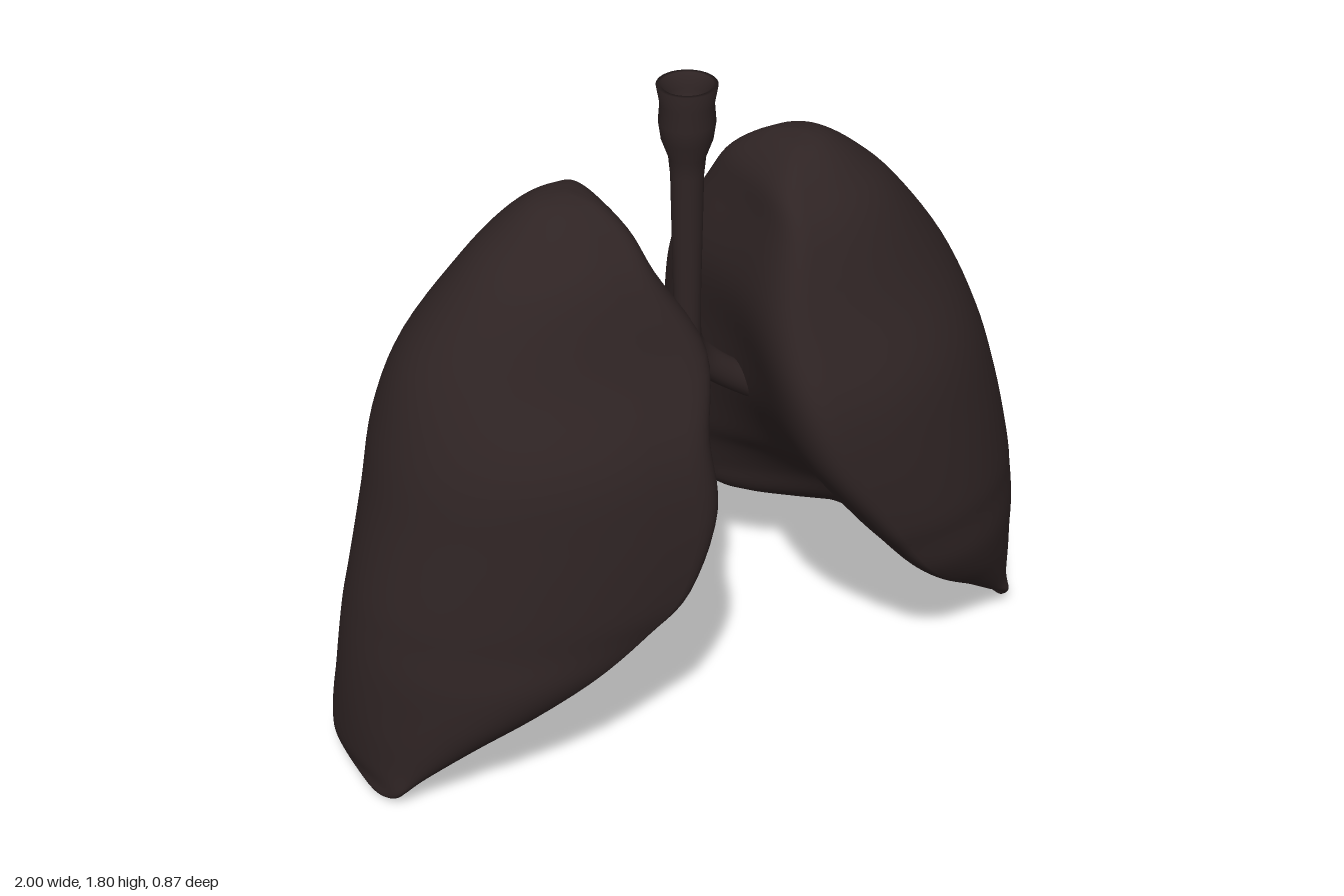
import * as THREE from 'three';

const tissue = new THREE.MeshStandardMaterial({ color: 0x2f2424, side: THREE.DoubleSide });
tissue.name = 'dark tissue';

// Horizontal sections from apex to base: height, inner hollow depth, front z, back z, rim roundness
const LEVELS = [
  [1.583, 0, 0.02, -0.02, 0.4], [1.565, 0, 0.08, -0.09, 0.4], [1.5, 0.01, 0.16, -0.17, 0.35],
  [1.4, 0.02, 0.235, -0.235, 0.32], [1.2, 0.04, 0.315, -0.345, 0.32], [1.0, 0.07, 0.4, -0.42, 0.32],
  [0.8, 0.08, 0.43, -0.43, 0.28], [0.6, 0.11, 0.435, -0.425, 0.2], [0.5, 0.16, 0.42, -0.425, 0.16],
  [0.4, 0.22, 0.4, -0.415, 0.13], [0.3, 0.23, 0.35, -0.385, 0.12], [0.2, 0.17, 0.28, -0.34, 0.12],
  [0.1, 0.07, 0.21, -0.3, 0.15], [0.05, 0.02, 0.18, -0.26, 0.2], [0.02, 0, 0.15, -0.04, 0.25],
  [0.005, 0, 0.1, 0.05, 0.3],
];
// Matching distances from the midline: outer side, front inner rim, back inner rim
const LEFT = [
  [0.36, 0.33, 0.33], [0.42, 0.265, 0.265], [0.51, 0.19, 0.19], [0.61, 0.155, 0.15],
  [0.755, 0.09, 0.09], [0.845, 0.085, 0.09], [0.905, 0.155, 0.1], [0.95, 0.315, 0.125],
  [0.97, 0.4, 0.16], [0.985, 0.49, 0.2], [0.995, 0.6, 0.28], [1.0, 0.73, 0.57],
  [1.0, 0.85, 0.735], [0.99, 0.92, 0.81], [0.98, 0.93, 0.92], [0.965, 0.94, 0.94],
];
const RIGHT = [
  [0.36, 0.32, 0.32], [0.43, 0.265, 0.265], [0.52, 0.205, 0.205], [0.63, 0.16, 0.155],
  [0.78, 0.035, 0.095], [0.855, 0.065, 0.1], [0.9, 0.06, 0.1], [0.95, 0.16, 0.115],
  [0.97, 0.285, 0.13], [0.985, 0.44, 0.16], [0.995, 0.6, 0.27], [1.0, 0.75, 0.57],
  [1.0, 0.87, 0.72], [0.99, 0.92, 0.79], [0.98, 0.93, 0.92], [0.965, 0.94, 0.94],
];

// Smooth interpolation between the rows of a table
function sample(rows, u) {
  const last = rows.length - 1;
  const i = Math.min(Math.floor(u), last - 1), t = u - i;
  const [a, b, c, d] = [rows[Math.max(i - 1, 0)], rows[i], rows[i + 1], rows[Math.min(i + 2, last)]];
  return b.map((_, k) => 0.5 * (2 * b[k] + (c[k] - a[k]) * t
    + (2 * a[k] - 5 * b[k] + 4 * c[k] - d[k]) * t * t
    + (3 * b[k] - a[k] - 3 * c[k] + d[k]) * t * t * t));
}

// Lung lofted from D-shaped sections that turn into crescents around the hollow base
function makeLung(widths, side, name) {
  const around = 96, steps = (LEVELS.length - 1) * 5;
  const pos = [], index = [];
  const ring = [];
  for (let i = 0; i <= steps; i++) {
    const [y, dent, zf, zb, round] = sample(LEVELS, i / 5);
    const [xo, xf, xb] = sample(widths, i / 5);
    let cx = 0;
    for (let j = 0; j < around; j++) {
      const angle = (j / around) * Math.PI * 2;
      const s = Math.cos(angle), w = Math.sin(angle);
      const rim = xb + (xf - xb) * (s + 1) / 2;
      const mid = rim + round * (xo - rim);
      const inner = rim + dent * (1 - s * s) ** 2;
      const x = w >= 0 ? mid + (xo - mid) * w : mid - (mid - inner) * (-w) ** 0.32;
      cx += x / around;
      pos.push(side * x, y, (zf + zb) / 2 + s * (zf - zb) / 2);
    }
    ring.push([side * cx, y, (zf + zb) / 2]);
  }
  const tri = (a, b, c) => (side > 0 ? index.push(a, b, c) : index.push(a, c, b));
  const top = pos.length / 3, bottom = top + 1, base = steps * around;
  pos.push(ring[0][0], ring[0][1] + 0.002, ring[0][2]);
  pos.push(ring[steps][0], 0, ring[steps][2]);
  for (let j = 0; j < around; j++) {
    const k = (j + 1) % around;
    for (let i = 0; i < steps; i++) {
      const r = i * around, n = r + around;
      tri(r + j, n + j, r + k);
      tri(r + k, n + j, n + k);
    }
    tri(top, j, k);
    tri(bottom, base + k, base + j);
  }
  const geo = new THREE.BufferGeometry();
  geo.setAttribute('position', new THREE.Float32BufferAttribute(pos, 3));
  geo.setIndex(index);
  geo.computeVertexNormals();
  const mesh = new THREE.Mesh(geo, tissue);
  mesh.name = name;
  return mesh;
}

export function createModel() {
  const group = new THREE.Group();
  group.name = 'lungs';
  group.add(makeLung(LEFT, 1, 'leftLung'), makeLung(RIGHT, -1, 'rightLung'));

  // Windpipe with a flared, open throat
  const profile = [
    [0.036, 1.04], [0.036, 1.2], [0.04, 1.4], [0.043, 1.55], [0.048, 1.6], [0.066, 1.65], [0.073, 1.7],
    [0.069, 1.75], [0.078, 1.8], [0.066, 1.8], [0.055, 1.76], [0.05, 1.7], [0.001, 1.68],
  ].map(([r, y]) => new THREE.Vector2(r, y));
  const windpipe = new THREE.Mesh(new THREE.LatheGeometry(profile, 32), tissue);
  windpipe.name = 'windpipe';
  windpipe.position.set(0.004, 0, 0.004);
  group.add(windpipe);

  // Two branches running into the lungs
  for (const side of [1, -1]) {
    const path = new THREE.CatmullRomCurve3([
      [0, 1.12, 0], [0.012, 1.05, -0.01], [0.055, 0.985, -0.03], [0.12, 0.92, -0.035], [0.3, 0.79, -0.035],
    ].map(([x, y, z]) => new THREE.Vector3(side * x, y, z)));
    const branch = new THREE.Mesh(new THREE.TubeGeometry(path, 24, 0.041, 20), tissue);
    branch.name = side > 0 ? 'leftBronchus' : 'rightBronchus';
    group.add(branch);
  }
  return group;
}
